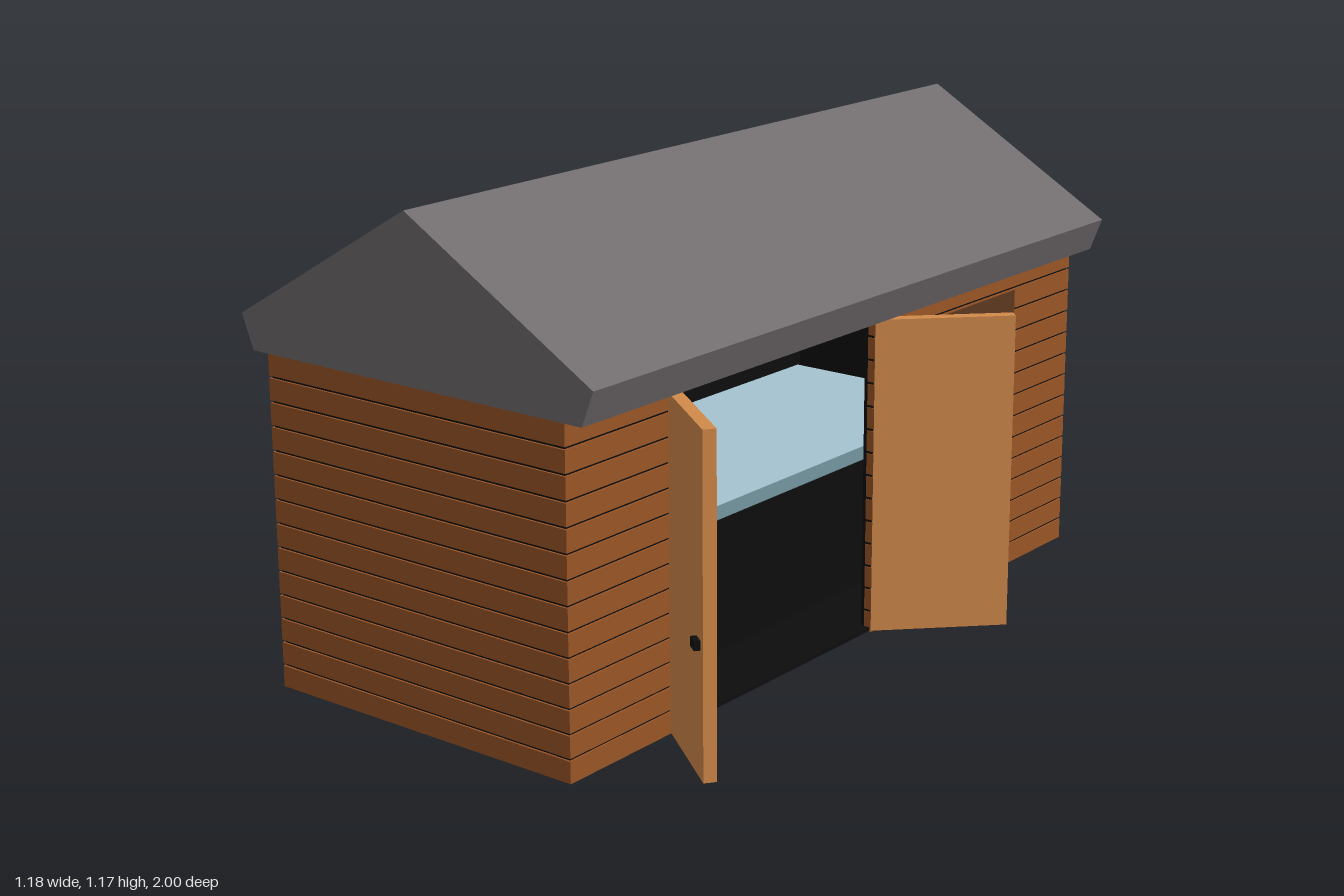
import * as THREE from 'three';

const mat = (color) => new THREE.MeshStandardMaterial({ color });
const WOOD = mat(0x9a5526), DOOR = mat(0xd28a4a), ROOF = mat(0x716c6e), DARK = mat(0x0d0d0d);
const HATCH = mat(0x5c371e), BLUE = mat(0xa4c3d0), TEAL = mat(0x688791);

// Box given by its min and max corners
function box(parent, name, material, [x0, x1], [y0, y1], [z0, z1]) {
  const mesh = new THREE.Mesh(new THREE.BoxGeometry(x1 - x0, y1 - y0, z1 - z0), material);
  mesh.position.set((x0 + x1) / 2, (y0 + y1) / 2, (z0 + z1) / 2);
  mesh.name = name;
  parent.add(mesh);
  return mesh;
}

export function createModel() {
  const model = new THREE.Group();
  const L = -0.525, R = 0.345, Z = 0.99, H = 0.798;   // wall extents
  const T = 0.02, IN = 0.005;                         // board thickness, groove depth
  const open = [-0.11, 0.62], doorTop = 0.78;         // doorway

  // Horizontal cladding boards on all four sides
  const cladding = new THREE.Group();
  cladding.name = 'cladding';
  model.add(cladding);
  const rows = 14, pitch = H / rows;
  for (let i = 0; i < rows; i++) {
    const y = [i * pitch, (i + 1) * pitch - (i < rows - 1 ? 0.006 : 0)];
    box(cladding, 'frontBoard', WOOD, [L, R], y, [Z - T, Z]);
    box(cladding, 'backBoard', WOOD, [L, R], y, [-Z, -Z + T]);
    box(cladding, 'farSideBoard', WOOD, [L, L + T], y, [-Z + T, Z - T]);
    box(cladding, 'doorSideBoard', WOOD, [R - T, R], y, [-Z + T, open[0]]);
    box(cladding, 'doorSideBoard', WOOD, [R - T, R], y, [open[1], Z - T]);
  }
  box(cladding, 'lintel', WOOD, [R - T, R], [doorTop, H], open);

  // Dark lining seen in the grooves and inside
  const lining = new THREE.Group();
  lining.name = 'lining';
  model.add(lining);
  const y = [0.002, H], a = L + IN, b = R - IN, c = Z - IN, t = 0.025;
  box(lining, 'frontLining', DARK, [a, b], y, [c - t, c]);
  box(lining, 'backLining', DARK, [a, b], y, [-c, -c + t]);
  box(lining, 'farLining', DARK, [a, a + t], y, [-c, c]);
  box(lining, 'doorSideLining', DARK, [b - t, b], y, [-c, open[0] - 0.002]);
  box(lining, 'doorSideLining', DARK, [b - t, b], y, [open[1] + 0.002, c]);
  box(lining, 'floor', DARK, [a, b], [0.002, 0.012], [-c, c]);

  // Bench inside with a pale top
  const bench = new THREE.Group();
  bench.name = 'bench';
  model.add(bench);
  box(bench, 'benchBody', DARK, [L + 0.03, 0.15], [0.01, 0.34], [-0.95, 0.95]);
  box(bench, 'benchTop', BLUE, [L + 0.03, 0.09], [0.34, 0.343], [-0.95, 0.95]);
  box(bench, 'benchTopEdge', TEAL, [0.09, 0.15], [0.34, 0.342], [-0.95, 0.95]);

  // Pitched roof with slanted eaves
  const shape = new THREE.Shape([
    [-0.56, 0.795], [0.4, 0.795], [0.432, 0.876], [-0.08, 1.175], [-0.592, 0.876],
  ].map(([px, py]) => new THREE.Vector2(px, py)));
  const roof = new THREE.Mesh(new THREE.ExtrudeGeometry(shape, { depth: 2, bevelEnabled: false }), ROOF);
  roof.position.z = -1;
  roof.name = 'roof';
  model.add(roof);

  // Two open doors hinged at the doorway sides
  const addDoor = (name, z, angle, length, side) => {
    const door = new THREE.Group();
    door.name = name;
    door.position.set(R, 0, z);
    door.rotation.y = -side * angle;
    const span = (p, q) => (side > 0 ? [p, q] : [-q, -p]);
    box(door, 'doorPanel', DOOR, [0, length], [0.004, doorTop], span(0, 0.03));
    box(door, 'doorHandle', DARK, [length - 0.052, length - 0.02], [0.295, 0.317], span(0.03, 0.044));
    model.add(door);
  };
  addDoor('frontDoor', open[1], 0.64, 0.3, 1);
  addDoor('backDoor', open[0], Math.PI / 4, 0.335, -1);

  // Closed hatch with a small knob
  box(model, 'hatch', HATCH, [R - 0.01, R + 0.004], [0.285, 0.732], [-0.72, -0.32]);
  box(model, 'hatchKnob', DARK, [R, R + 0.012], [0.453, 0.467], [-0.698, -0.682]);
  return model;
}
